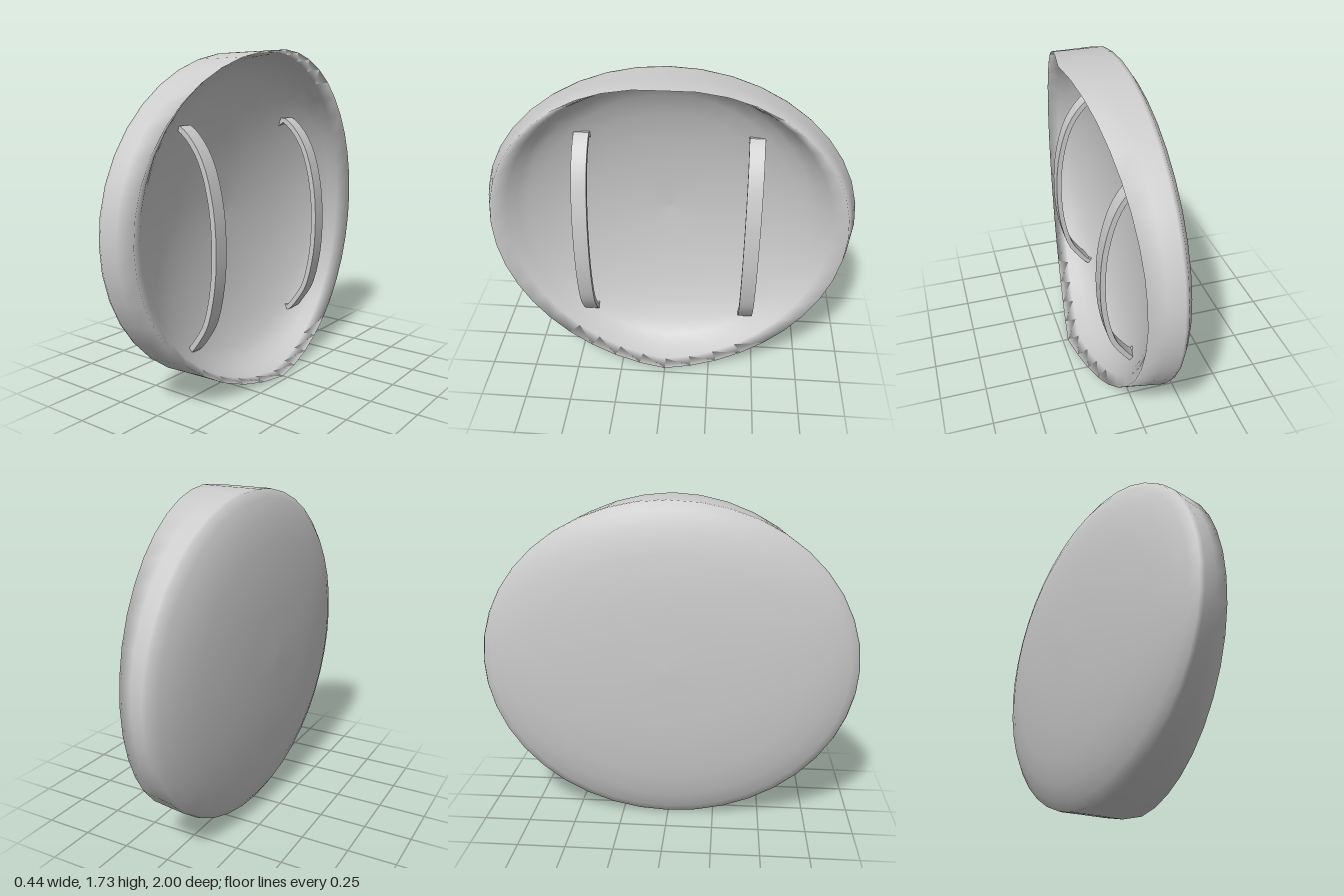
import * as THREE from 'three';
import { toCreasedNormals } from 'three/addons/utils/BufferGeometryUtils.js';

const CENTRE_Y = 0.868, HALF_Y = 0.866, SIDES = 40;
const grey = () => new THREE.MeshStandardMaterial({ color: 0xcccccc });

// Skin of elliptical rings [yScale, zScale, x, sweep]; sweep pulls a ring forward at top and bottom
function skin(rings, name) {
  const pos = [], index = [];
  for (const [sy, sz, x, sweep] of rings) {
    for (let j = 0; j < SIDES; j++) {
      const a = (j / SIDES) * Math.PI * 2;
      pos.push(x + sweep * (1 - Math.abs(Math.cos(a))), CENTRE_Y + HALF_Y * sy * Math.sin(a), sz * Math.cos(a));
    }
  }
  for (let i = 0; i < rings.length - 1; i++) {
    for (let j = 0; j < SIDES; j++) {
      const k = (j + 1) % SIDES;
      const a = i * SIDES + j, b = a + SIDES, c = (i + 1) * SIDES + k, d = i * SIDES + k;
      index.push(a, b, c, a, c, d);
    }
  }
  const geo = new THREE.BufferGeometry();
  geo.setAttribute('position', new THREE.Float32BufferAttribute(pos, 3));
  geo.setIndex(index);
  geo.computeVertexNormals();
  const mesh = new THREE.Mesh(geo, grey());
  mesh.name = name;
  return mesh;
}

// Curved grip strap: a band of constant thickness following a smooth side profile
function strap(z, name) {
  const width = 0.08, thickness = 0.028;
  const curve = new THREE.SplineCurve([[-0.12, 1.34], [-0.06, 1.368], [0.03, 1.29], [0.1, 1.165], [0.146, 0.98],
    [0.16, 0.79], [0.15, 0.6], [0.108, 0.41], [0.045, 0.3], [-0.02, 0.226], [-0.07, 0.24]]
    .map(([x, y]) => new THREE.Vector2(x, y)));
  const outer = curve.getPoints(30);
  const inner = outer.map((p, i) => {
    const t = curve.getTangent(i / 30);
    return new THREE.Vector2(p.x + t.y * thickness, p.y - t.x * thickness);
  });
  const geo = new THREE.ExtrudeGeometry(new THREE.Shape([...outer, ...inner.reverse()]),
    { depth: width, bevelEnabled: false });
  geo.translate(0, 0, z - width / 2);
  const mesh = new THREE.Mesh(toCreasedNormals(geo, 0.6), grey());
  mesh.name = name;
  return mesh;
}

export function createModel() {
  const group = new THREE.Group();
  group.name = 'shield';

  group.add(skin([
    // domed face and rounded shoulder
    [0, 0, -0.222, 0], [0.3, 0.3, -0.217, 0], [0.5, 0.5, -0.206, 0], [0.7, 0.7, -0.185, 0],
    [0.84, 0.84, -0.158, 0], [0.94, 0.945, -0.124, 0], [0.99, 0.99, -0.095, 0], [0.992, 1, -0.075, 0],
    // side wall and swept rim
    [0.995, 0.978, 0, 0.05], [1, 0.95, 0.08, 0.14],
    // broad lip at the sides, then a rounded bowl down to the floor
    [0.985, 0.87, 0.035, 0.12], [0.965, 0.82, 0, 0.08], [0.92, 0.77, -0.03, 0.035], [0.84, 0.7, -0.06, 0.01],
    [0.7, 0.6, -0.103, 0], [0.5, 0.43, -0.148, 0], [0.25, 0.22, -0.178, 0], [0, 0, -0.187, 0],
  ], 'shell'));

  group.add(strap(0.45, 'frontStrap'), strap(-0.45, 'rearStrap'));
  return group;
}
